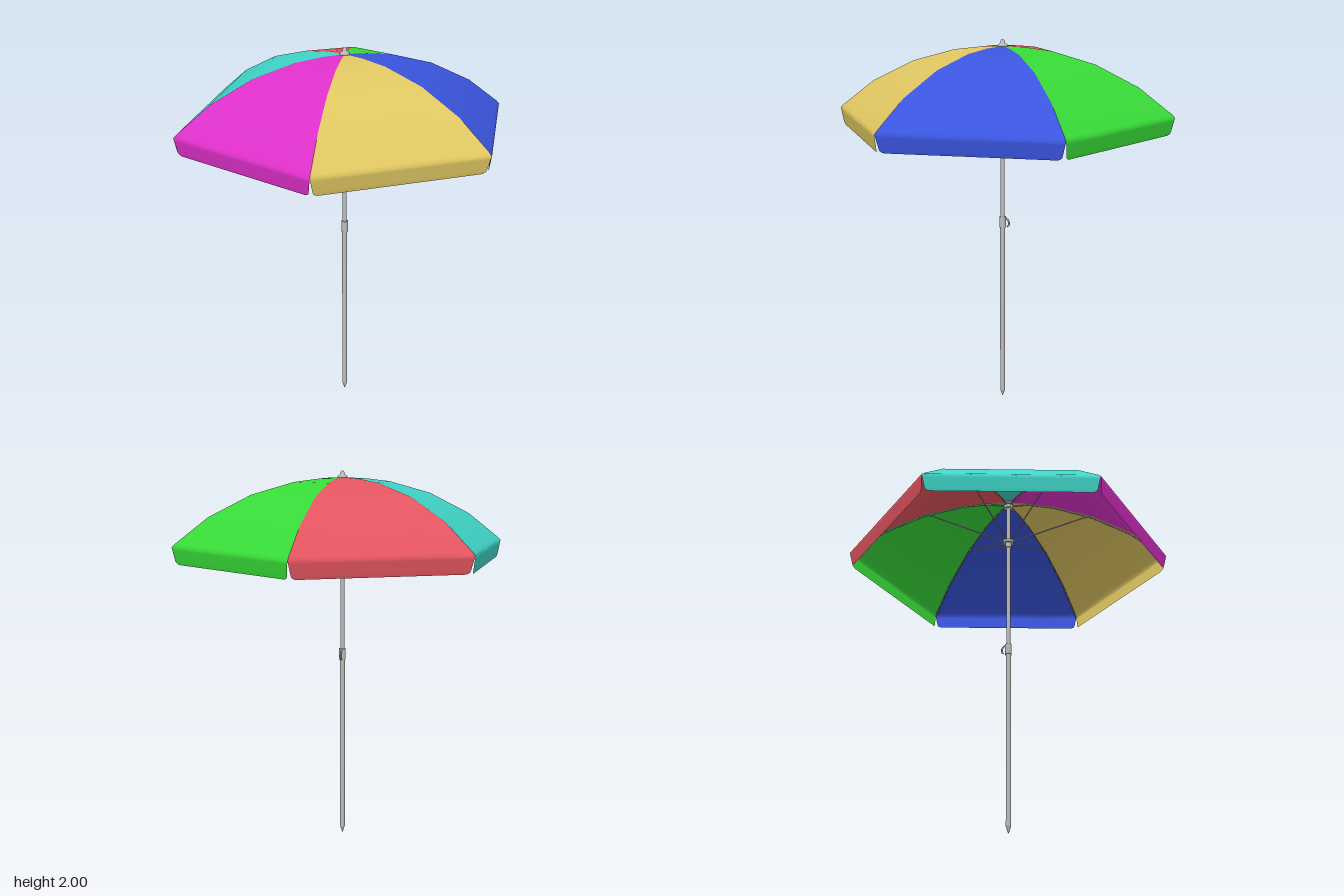
import * as THREE from 'three';

const flat = (name, color, side = THREE.FrontSide) => {
  const m = new THREE.MeshStandardMaterial({ color, side });
  m.name = name;
  return m;
};

// Canopy profile along a rib: [radius, height]
const RIB = [[0.004, 1.965], [0.12, 1.96], [0.26, 1.943], [0.485, 1.88], [0.71, 1.768], [0.885, 1.634], [0.9, 1.618]];
// Hanging flap: [distance from axis, half width, height]
const FLAP = [[0.777, 0.446, 1.603], [0.769, 0.434, 1.55], [0.767, 0.43, 1.54], [0.765, 0.42, 1.533], [0.765, 0.41, 1.53]];

// One sixth of the canopy, facing +x, straight between its two ribs
function panelGeometry() {
  const rows = [...RIB.map(([r, y]) => [r * Math.cos(Math.PI / 6), r / 2, y]), ...FLAP];
  const cols = 4, pos = [], idx = [];
  rows.forEach(([x, half, y], i) => {
    for (let j = 0; j <= cols; j++) {
      pos.push(x, y, half * (2 * j / cols - 1));
      if (i < rows.length - 1 && j < cols) {
        const a = i * (cols + 1) + j, b = a + cols + 1;
        idx.push(a, a + 1, b, a + 1, b + 1, b);
      }
    }
  });
  const g = new THREE.BufferGeometry();
  g.setAttribute('position', new THREE.Float32BufferAttribute(pos, 3));
  g.setIndex(idx);
  g.computeVertexNormals();
  return g;
}

export function createModel() {
  const model = new THREE.Group();
  model.name = 'beachUmbrella';
  const metal = flat('greyMetal', 0xbcbcbc);

  const add = (name, geometry, material = metal, parent = model) => {
    const mesh = new THREE.Mesh(geometry, material);
    mesh.name = name;
    parent.add(mesh);
    return mesh;
  };
  const cylinder = (name, rTop, rBottom, y0, y1) => {
    const mesh = add(name, new THREE.CylinderGeometry(rTop, rBottom, y1 - y0, 24));
    mesh.position.y = (y0 + y1) / 2;
    return mesh;
  };

  // Pole
  cylinder('poleTip', 0.0135, 0.002, 0, 0.035);
  cylinder('lowerPole', 0.0135, 0.0135, 0.035, 1.0);
  cylinder('upperPole', 0.011, 0.011, 1.0, 1.96);

  // Height lock with its hooked lever at the back
  cylinder('lockCollar', 0.018, 0.018, 0.99, 1.05);
  const hook = new THREE.CatmullRomCurve3([[1.042, -0.014], [1.036, -0.026], [1.018, -0.035], [1.0, -0.033], [0.994, -0.025]]
    .map(([y, z]) => new THREE.Vector3(0, y, z)));
  add('lockLever', new THREE.TubeGeometry(hook, 16, 0.005, 8));

  // Finial
  const finial = [[0, 1.958], [0.025, 1.958], [0.026, 1.97], [0.02, 1.976], [0.013, 1.98], [0.011, 1.99], [0.007, 1.998], [0, 2]];
  add('finial', new THREE.LatheGeometry(finial.map(([r, y]) => new THREE.Vector2(r, y)), 24));

  // Rib hub and sliding runner
  cylinder('topHub', 0.026, 0.026, 1.925, 1.945);
  cylinder('runner', 0.018, 0.018, 1.66, 1.715);
  cylinder('runnerFlange', 0.03, 0.03, 1.69, 1.71);

  // Coloured panels, counter-clockwise from the left side
  const colours = [['blue', 0x3a55de], ['green', 0x38da38], ['red', 0xe2545f],
    ['turquoise', 0x40d4c6], ['magenta', 0xdc30c8], ['sand', 0xdfc661]];
  const panel = panelGeometry();
  const canopy = new THREE.Group();
  canopy.name = 'canopy';
  model.add(canopy);
  colours.forEach(([name, hex], i) => {
    add(name + 'Panel', panel, flat(name, hex, THREE.DoubleSide), canopy).rotation.y = i * Math.PI / 3;
  });

  // Ribs under the seams and struts from the runner
  const ribPath = new THREE.CurvePath();
  const ribPoints = RIB.slice(1).map(([r, y]) => new THREE.Vector3(r - 0.007, y - 0.008, 0));
  ribPoints.unshift(new THREE.Vector3(0.015, 1.94, 0));
  for (let i = 1; i < ribPoints.length; i++) ribPath.add(new THREE.LineCurve3(ribPoints[i - 1], ribPoints[i]));
  const ribGeometry = new THREE.TubeGeometry(ribPath, 40, 0.004, 6);
  const strutGeometry = new THREE.TubeGeometry(
    new THREE.LineCurve3(new THREE.Vector3(0.02, 1.7, 0), new THREE.Vector3(0.46, 1.878, 0)), 1, 0.004, 6);
  for (let i = 0; i < 6; i++) {
    const arm = new THREE.Group();
    arm.name = 'ribArm';
    arm.rotation.y = (i + 0.5) * Math.PI / 3;
    add('rib', ribGeometry, metal, arm);
    add('strut', strutGeometry, metal, arm);
    model.add(arm);
  }
  return model;
}
